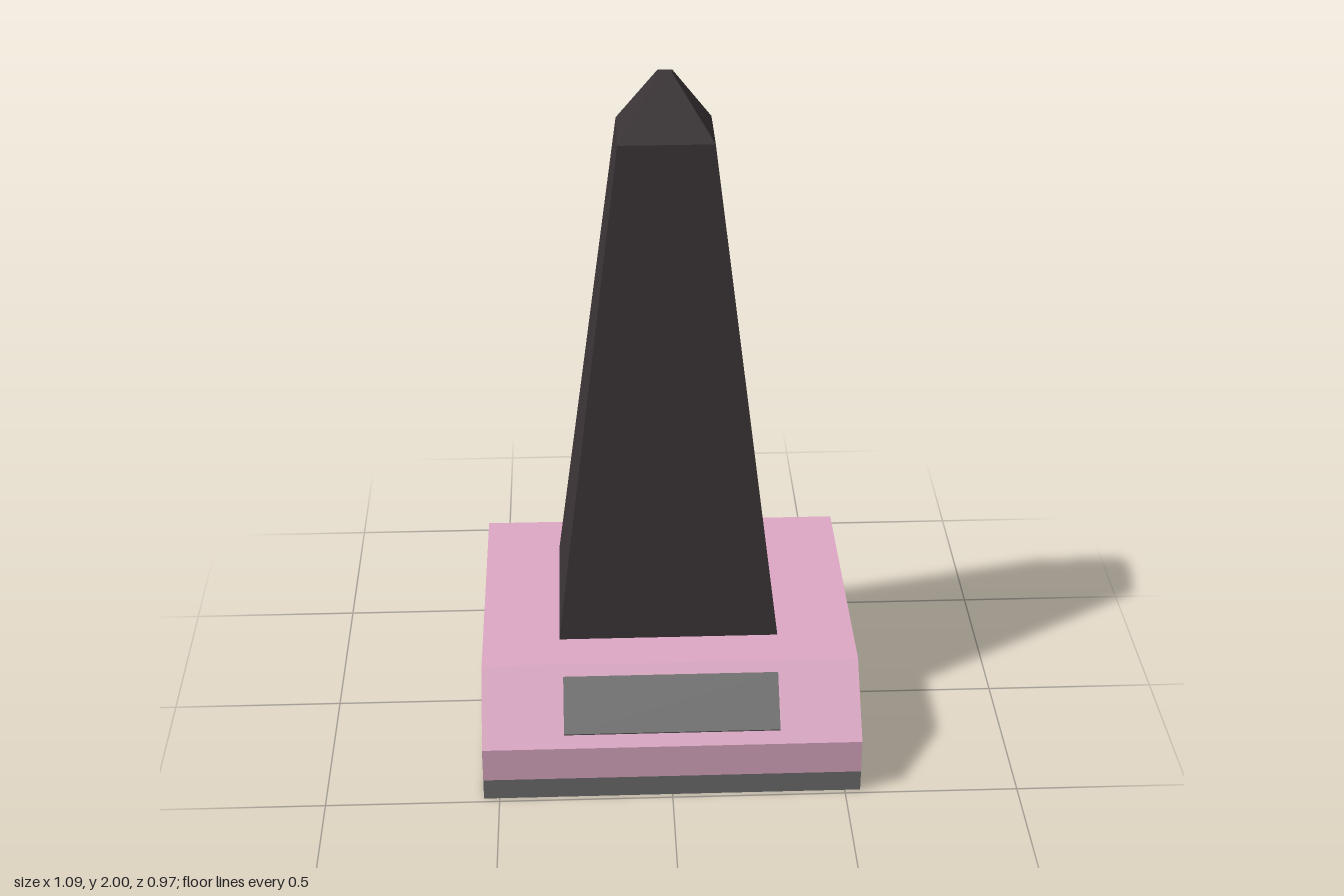
import * as THREE from 'three';

const paint = (color) => new THREE.MeshStandardMaterial({ color, flatShading: true });
const STONE = paint(0x3b3437), PINK = paint(0xdda8c4), GREY = paint(0x6e6e6e);

const WIDTH = 1.09, DEPTH = 0.97;

function part(name, geometry, material, x = 0, y = 0, z = 0) {
  const mesh = new THREE.Mesh(geometry, material);
  mesh.name = name;
  mesh.position.set(x, y, z);
  return mesh;
}

// Box standing on y = 0 whose top is scaled to a smaller rectangle
function taperedBox(w0, d0, w1, d1, height) {
  const geometry = new THREE.BoxGeometry(w0, height, d0).translate(0, height / 2, 0);
  const p = geometry.attributes.position;
  for (let i = 0; i < p.count; i++) {
    if (p.getY(i) > height / 2) {
      p.setX(i, p.getX(i) * w1 / w0);
      p.setZ(i, p.getZ(i) * d1 / d0);
    }
  }
  geometry.computeVertexNormals();
  return geometry;
}

export function createModel() {
  const model = new THREE.Group();
  model.name = 'obeliskMonument';

  // Grey footing with a dark underside
  const sides = Array(6).fill(GREY);
  sides[3] = STONE;
  model.add(part('footing', new THREE.BoxGeometry(WIDTH, 0.065, DEPTH), sides, 0, 0.0325, 0));

  // Pedestal: side profile with a sloped front edge, extruded across the width
  const profile = new THREE.Shape([
    [-0.485, 0.065], [0.485, 0.065], [0.485, 0.17], [0.31, 0.34], [-0.485, 0.34],
  ].map(([z, y]) => new THREE.Vector2(z, y)));
  const pedestal = new THREE.ExtrudeGeometry(profile, { depth: WIDTH, bevelEnabled: false })
    .rotateY(-Math.PI / 2).translate(WIDTH / 2, 0, 0);
  model.add(part('pedestal', pedestal, PINK));

  // Plaque lying on the slope
  const plaque = part('plaque', new THREE.BoxGeometry(0.62, 0.015, 0.167), GREY, 0, 0.261, 0.403);
  plaque.rotation.x = Math.atan2(0.17, 0.175);
  model.add(plaque);

  // Obelisk: tapering shaft and blunt pyramid cap
  const obelisk = new THREE.Group();
  obelisk.name = 'obelisk';
  obelisk.position.set(0, 0.34, -0.075);
  obelisk.add(
    part('shaft', taperedBox(0.642, 0.51, 0.266, 0.21, 1.49), STONE),
    part('cap', taperedBox(0.266, 0.21, 0.04, 0.032, 0.17), STONE, 0, 1.49, 0),
  );
  model.add(obelisk);

  return model;
}
